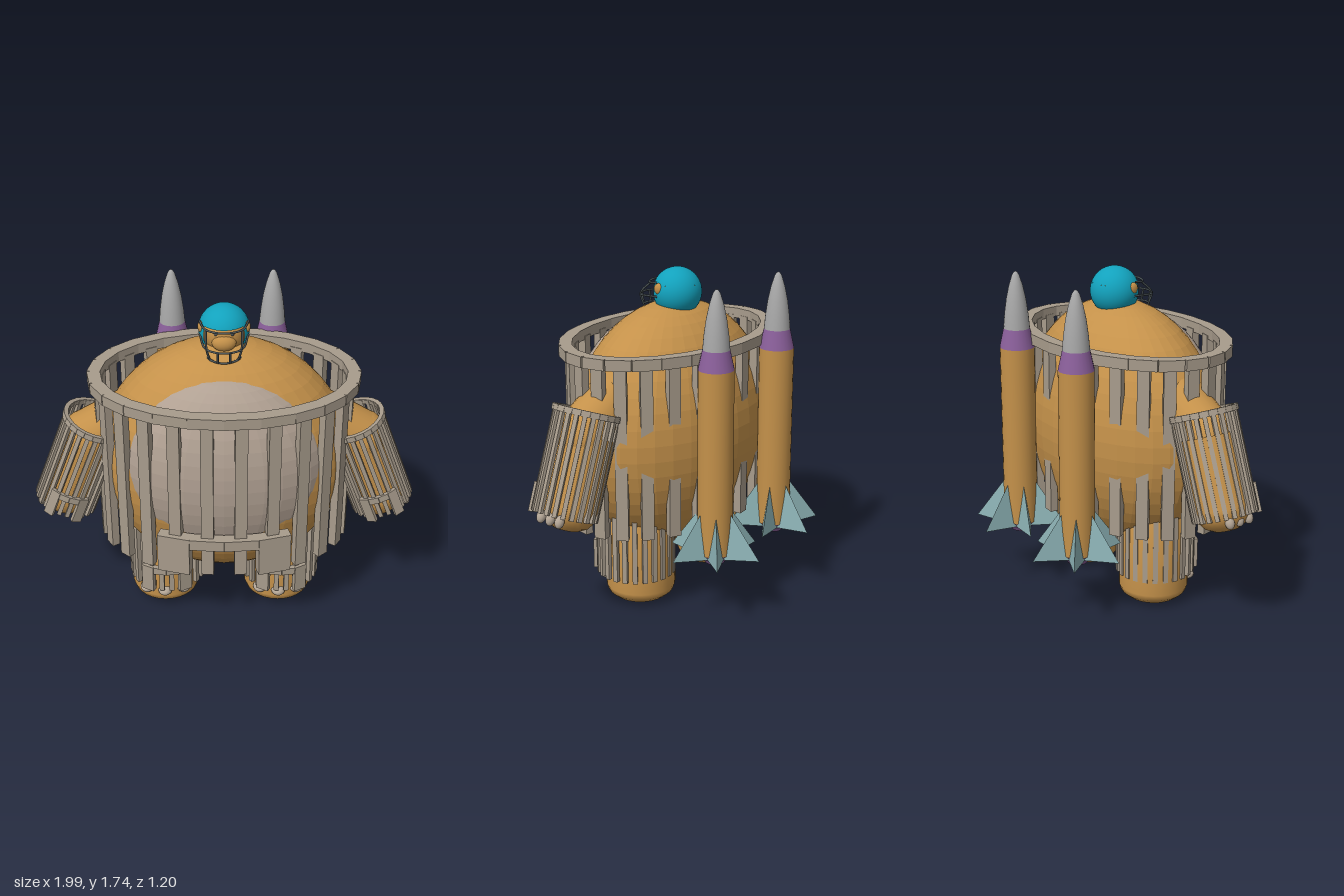
import * as THREE from 'three';
import { ConvexGeometry } from 'three/addons/geometries/ConvexGeometry.js';

const mat = (color, flatShading = false, side = THREE.FrontSide) =>
  new THREE.MeshStandardMaterial({ color, flatShading, side });
const tan = mat(0xc4914a), tanFlat = mat(0xc4914a, true), wood = mat(0xa89c8c, true);
const bellyGrey = mat(0xb0a092, true), claw = mat(0xb5a797), teal = mat(0x12a2bd, false, THREE.DoubleSide);
const purple = mat(0x8a5f9a), noseGrey = mat(0xa8a8a8), finBlue = mat(0x8bb0b3, true), dark = mat(0x4c5558);
const V = (x, y, z) => new THREE.Vector3(x, y, z);

function add(parent, name, geometry, material, x = 0, y = 0, z = 0) {
  const mesh = new THREE.Mesh(geometry, material);
  mesh.name = name;
  mesh.position.set(x, y, z);
  parent.add(mesh);
  return mesh;
}

function ellipsoid(parent, name, material, [x, y, z], [rx, ry, rz], seg = 20) {
  const mesh = add(parent, name, new THREE.SphereGeometry(1, seg, Math.round(seg * 0.7)), material, x, y, z);
  mesh.scale.set(rx, ry, rz);
  return mesh;
}

// One upright board on an ellipse about the local y axis, facing outwards
function board(parent, name, a, rx, rz, cz, y, w, h, d) {
  const s = Math.sin(a), c = Math.cos(a);
  add(parent, name, new THREE.BoxGeometry(w, h, d), wood, rx * s, y, cz + rz * c)
    .rotation.y = Math.atan2(s / rx, c / rz);
}

// Boards all round an ellipse; width 0 makes them meet as a closed rail
function palisade(parent, name, count, rx, rz, cz, y, w, h, d) {
  const step = (2 * Math.PI) / count;
  for (let i = 0; i < count; i++) {
    const a = (i + 0.5) * step;
    const width = w || step * Math.hypot(rx * Math.cos(a), rz * Math.sin(a)) * 1.04;
    board(parent, name, a, rx, rz, cz, y, width, h, d);
  }
}

// Two posts and a two-piece lintel following the front of an ellipse
function gate(parent, step, rx, rz, cz, top, postH, lintelH, d) {
  for (const i of [-1.5, -0.5, 0.5, 1.5]) {
    const a = i * step, post = Math.abs(i) > 1, h = post ? postH : lintelH;
    const w = step * Math.hypot(rx * Math.cos(a), rz * Math.sin(a)) * 1.03;
    board(parent, post ? 'gatePost' : 'gateLintel', a, rx, rz, cz, top - h / 2, w, h, d);
  }
}

function buildHead() {
  const head = new THREE.Group();
  head.name = 'head';
  ellipsoid(head, 'face', tan, [0, 1.61, 0.085], [0.112, 0.11, 0.115]);
  ellipsoid(head, 'muzzle', tan, [0, 1.59, 0.18], [0.06, 0.045, 0.04]);
  for (const s of [-1, 1]) {
    ellipsoid(head, 'ear', tan, [s * 0.112, 1.645, 0.118], [0.018, 0.03, 0.028], 12);
    ellipsoid(head, 'eye', dark, [s * 0.04, 1.64, 0.185], [0.01, 0.011, 0.01], 8);
  }
  // Helmet: full dome above, shell open at the front below
  add(head, 'helmetDome', new THREE.SphereGeometry(0.127, 32, 12, 0, Math.PI * 2, 0, 1.2), teal, 0, 1.62, 0.085);
  add(head, 'helmetShell', new THREE.SphereGeometry(0.127, 28, 10, Math.PI / 2 + 0.9, Math.PI * 2 - 1.8, 1.2, 1.2),
    teal, 0, 1.62, 0.085);
  // Face guard bars
  const bar = (points, name) => add(head, name,
    new THREE.TubeGeometry(new THREE.CatmullRomCurve3(points), 20, 0.0055, 6), dark);
  for (const [y, front, w] of [[1.668, 0.235, 0.09], [1.595, 0.3, 0.085], [1.535, 0.29, 0.07]]) {
    bar([V(-0.12, y + 0.01, 0.12), V(-w, y, front - 0.04), V(0, y, front),
      V(w, y, front - 0.04), V(0.12, y + 0.01, 0.12)], 'guardBar');
  }
  for (const s of [-1, 1]) {
    bar([V(s * 0.03, 1.598, 0.297), V(s * 0.03, 1.535, 0.285)], 'guardUpright');
    bar([V(s * 0.088, 1.668, 0.19), V(s * 0.085, 1.6, 0.26), V(s * 0.07, 1.535, 0.25)], 'guardUpright');
  }
  return head;
}

function buildLeg(s) {
  const leg = new THREE.Group();
  leg.name = s > 0 ? 'leftLeg' : 'rightLeg';
  leg.position.set(s * 0.307, 0, 0.13);
  const profile = [[0, 0.005], [0.08, 0.009], [0.14, 0.025], [0.172, 0.052], [0.184, 0.085], [0.184, 0.55], [0, 0.6]]
    .map(([r, y]) => new THREE.Vector2(r, y));
  // The leg sits a little off the middle of its slats
  add(leg, 'legAndFoot', new THREE.LatheGeometry(profile, 28), tan, -0.013, 0, -0.02);
  palisade(leg, 'legSlat', 24, 0.196, 0.2, 0, 0.36, 0.026, 0.4, 0.022);
  gate(leg, 0.32, 0.208, 0.212, 0, 0.32, 0.16, 0.04, 0.028);
  for (const i of [-1, 0, 1])
    ellipsoid(leg, 'toe', claw, [i * 0.098 - 0.013, 0.125, 0.158 - Math.abs(i) * 0.03], [0.038, 0.026, 0.042], 14);
  return leg;
}

function buildArm(s) {
  const arm = new THREE.Group();
  arm.name = s > 0 ? 'leftArm' : 'rightArm';
  // Upper arm slopes out from the shoulder
  const shoulder = V(s * 0.36, 1.215, 0.125), elbow = V(s * 0.7, 1.015, 0.125);
  const upper = add(arm, 'upperArm', new THREE.CylinderGeometry(0.142, 0.142, shoulder.distanceTo(elbow), 24), tan);
  upper.position.copy(shoulder).lerp(elbow, 0.5);
  upper.quaternion.setFromUnitVectors(V(0, 1, 0), shoulder.clone().sub(elbow).normalize());
  ellipsoid(arm, 'elbow', tan, elbow.toArray(), [0.143, 0.143, 0.143]);
  // Forearm hangs down and outwards inside a slatted cage
  const fore = new THREE.Group();
  fore.name = 'forearm';
  fore.position.set(s * 0.65, 1.13, 0.138);
  fore.rotation.z = s * 0.365;
  arm.add(fore);
  const profile = [[0, -0.6], [0.06, -0.593], [0.105, -0.57], [0.135, -0.53], [0.147, -0.48], [0.147, -0.12]]
    .map(([r, y]) => new THREE.Vector2(r, y));
  add(fore, 'forearmAndHand', new THREE.LatheGeometry(profile, 24), tan, -0.013, 0, -0.016);
  palisade(fore, 'armSlat', 24, 0.157, 0.161, 0, -0.265, 0.022, 0.53, 0.018);
  palisade(fore, 'armHoop', 24, 0.16, 0.166, 0, -0.012, 0, 0.03, 0.022);
  gate(fore, 0.3, 0.166, 0.17, 0, -0.395, 0.15, 0.035, 0.022);
  for (const i of [-1, 0, 1])
    ellipsoid(fore, 'knuckle', claw, [s * 0.116, -0.548, -0.015 + i * 0.06], [0.024, 0.033, 0.024], 14);
  return arm;
}

function buildRocket(s) {
  const rocket = new THREE.Group();
  rocket.name = s > 0 ? 'leftRocket' : 'rightRocket';
  rocket.position.set(s * 0.265 - 0.009, 0, -0.352);
  const tube = (name, top, bottom, y0, y1, material) =>
    add(rocket, name, new THREE.CylinderGeometry(top, bottom, y1 - y0, 24), material, 0, (y0 + y1) / 2, 0);
  tube('rocketBody', 0.09, 0.09, 0.37, 1.335, tan);
  tube('rocketCollar', 0.068, 0.09, 1.335, 1.435, purple);
  tube('rocketNozzle', 0.088, 0.05, 0.315, 0.37, purple);
  const nose = [[0.068, 1.435], [0.062, 1.505], [0.051, 1.585], [0.036, 1.655], [0.019, 1.71], [0.008, 1.727], [0, 1.73]]
    .map(([r, y]) => new THREE.Vector2(r, y));
  add(rocket, 'rocketNose', new THREE.LatheGeometry(nose, 24), noseGrey);
  const fin = new ConvexGeometry([V(0.08, 0.6, 0), V(0.25, 0.365, 0), V(0.06, 0.35, 0.042), V(0.06, 0.35, -0.042)]);
  for (let i = 0; i < 6; i++) {
    const angle = THREE.MathUtils.degToRad(21 + i * 60);
    add(rocket, 'rocketFin', fin, finBlue).rotation.y = s < 0 ? angle : Math.PI - angle;
  }
  return rocket;
}

export function createModel() {
  const model = new THREE.Group();
  model.name = 'armouredBear';
  ellipsoid(model, 'body', tanFlat, [0, 0.915, 0.12], [0.645, 0.655, 0.43], 36);
  ellipsoid(model, 'belly', bellyGrey, [0, 0.96, 0.295], [0.52, 0.52, 0.272], 32);

  // Wooden fence around the torso
  const fence = new THREE.Group();
  fence.name = 'torsoFence';
  model.add(fence);
  palisade(fence, 'fenceRail', 24, 0.645, 0.428, 0.14, 1.38, 0, 0.056, 0.066);
  palisade(fence, 'fenceSlat', 24, 0.63, 0.412, 0.14, 0.915, 0.062, 0.91, 0.042);
  gate(fence, Math.PI / 12, 0.65, 0.428, 0.14, 0.69, 0.22, 0.06, 0.06);

  model.add(buildHead());
  for (const s of [-1, 1]) model.add(buildLeg(s), buildArm(s), buildRocket(s));
  return model;
}
